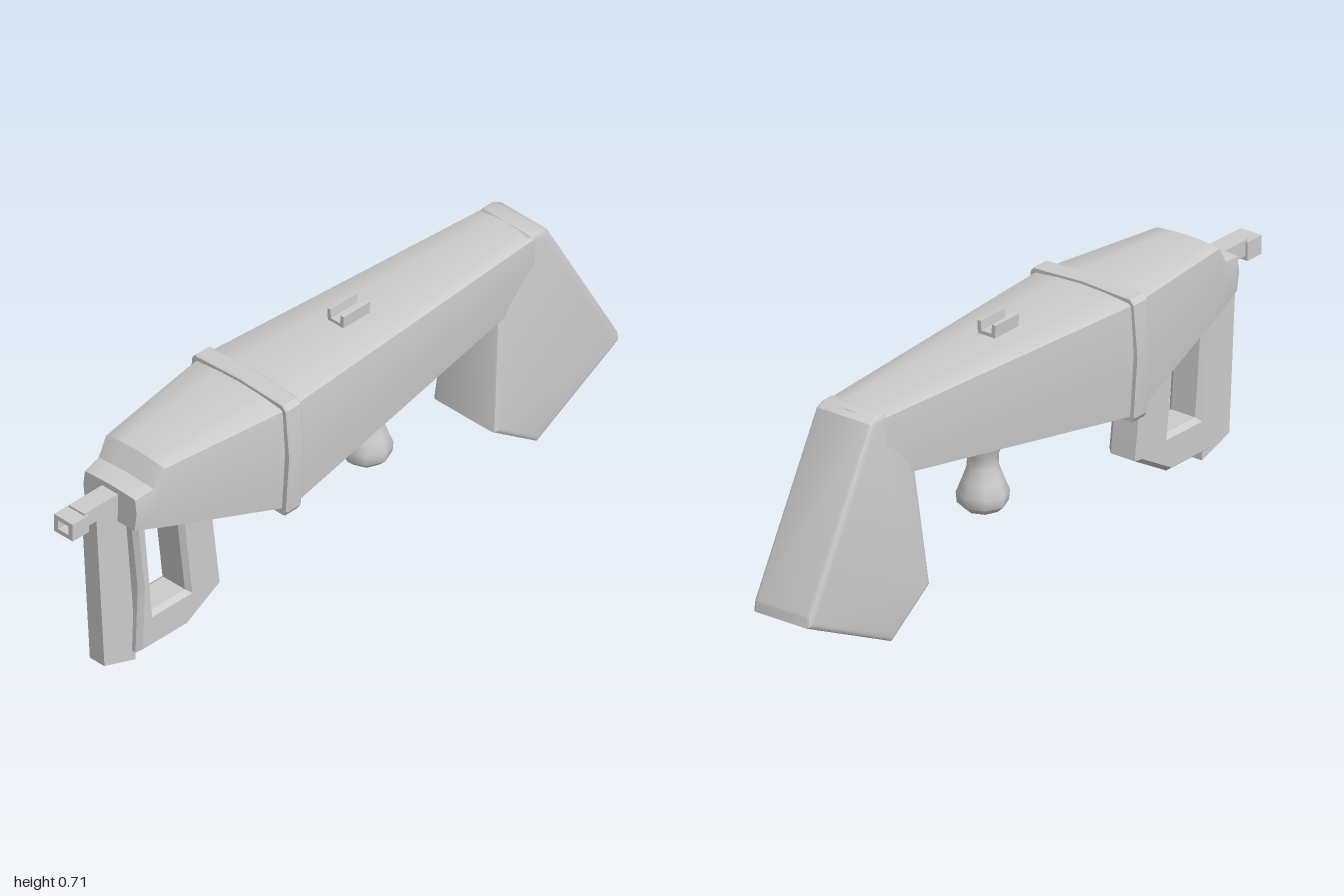
import * as THREE from 'three';
import { toCreasedNormals } from 'three/addons/utils/BufferGeometryUtils.js';

const material = new THREE.MeshStandardMaterial({ color: 0xcccccc });

function addPart(parent, name, geometry, crease = 0.5) {
  const mesh = new THREE.Mesh(toCreasedNormals(geometry, crease), material);
  mesh.name = name;
  parent.add(mesh);
  return mesh;
}

// Skin a row of closed rings (ordered by rising x) and cap both ends
function loft(rings) {
  const n = rings[0].length;
  const index = [];
  for (let r = 0; r < rings.length - 1; r++) {
    for (let i = 0; i < n; i++) {
      const a = r * n + i, b = r * n + (i + 1) % n;
      index.push(a, a + n, b + n, a, b + n, b);
    }
  }
  const last = (rings.length - 1) * n;
  for (let i = 1; i < n - 1; i++) {
    index.push(0, i, i + 1, last, last + i + 1, last + i);
  }
  const g = new THREE.BufferGeometry();
  g.setAttribute('position', new THREE.Float32BufferAttribute(rings.flat(2), 3));
  g.setIndex(index);
  const flat = g.toNonIndexed();
  flat.computeVertexNormals();
  return flat;
}

// Hull cross-section: flat bottom, bulged sides, crowned top; the end may slant
function hullRing(xBottom, xTop, yBottom, yTop, half) {
  const right = [
    [0.93, 0], [1, 0.54], [0.945, 0.95], [0.9, 0.965], [0.45, 0.99],
  ];
  const left = right.map(([z, t]) => [-z, t]).reverse();
  return [...right, [0, 1], ...left].map(([z, t]) => [
    xBottom + (xTop - xBottom) * t, yBottom + (yTop - yBottom) * t, z * half,
  ]);
}

// Band cross-section with chamfered corners
function bandRing(x, inset) {
  const right = [[0.165, 0.325], [0.175, 0.34], [0.188, 0.52], [0.175, 0.668], [0.162, 0.682]];
  const left = right.map(([z, y]) => [-z, y]).reverse();
  const s = 1 - inset;
  return [...right, [0, 0.69], ...left].map(([z, y]) => [x, 0.51 + (y - 0.51) * s, z * s]);
}

// Side outline extruded across z, with the bevel kept inside the outline
function slab(outline, half, bevel, thickness, hole, segments = 1) {
  const toPoints = (list) => list.map(([x, y]) => new THREE.Vector2(x, y));
  const shape = new THREE.Shape(toPoints(outline));
  if (hole) shape.holes.push(new THREE.Path(toPoints(hole)));
  const g = new THREE.ExtrudeGeometry(shape, {
    depth: 2 * (half - thickness), bevelEnabled: bevel > 0, bevelSize: bevel,
    bevelThickness: thickness, bevelOffset: -bevel, bevelSegments: segments,
  });
  return g.translate(0, 0, -(half - thickness));
}

function box(x0, x1, y0, y1, z0, z1) {
  return new THREE.BoxGeometry(x1 - x0, y1 - y0, z1 - z0)
    .translate((x0 + x1) / 2, (y0 + y1) / 2, (z0 + z1) / 2);
}

export function createModel() {
  const model = new THREE.Group();

  // Main hull, swelling towards the band and tapering to the stock
  addPart(model, 'body', loft([
    hullRing(-0.825, -0.825, 0.49, 0.595, 0.098),
    hullRing(-0.77, -0.765, 0.474, 0.605, 0.107),
    hullRing(-0.745, -0.73, 0.466, 0.66, 0.113),
    hullRing(-0.31, -0.31, 0.338, 0.68, 0.175),
    hullRing(0.62, 0.705, 0.48, 0.676, 0.099),
  ]));

  // Raised band around the widest point
  addPart(model, 'band', loft([
    bandRing(-0.342, 0.015), bandRing(-0.337, 0),
    bandRing(-0.29, 0), bandRing(-0.285, 0.015),
  ]), 0.3);

  // Stock, flaring in width towards its lower front corner
  const stock = slab([
    [0.5, 0.13], [0.66, 0.02], [0.99, 0.17], [0.985, 0.2],
    [0.725, 0.665], [0.70, 0.677], [0.66, 0.677], [0.56, 0.56], [0.535, 0.46],
  ], 0.1, 0.018, 0.012, null, 3);
  const pos = stock.attributes.position;
  const clamp = THREE.MathUtils.clamp;
  for (let i = 0; i < pos.count; i++) {
    const x = pos.getX(i), y = pos.getY(i);
    const low = clamp((0.45 - y) / 0.3, 0, 1);
    const forward = clamp((0.99 - x) / 0.3, 0, 1);
    pos.setZ(i, pos.getZ(i) * (0.96 + 0.22 * low * forward));
  }
  addPart(model, 'stock', stock);

  // Looped grip under the nose
  addPart(model, 'grip', slab(
    [[-0.77, 0.04], [-0.59, 0.04], [-0.457, 0.115], [-0.495, 0.42], [-0.51, 0.47], [-0.79, 0.5], [-0.762, 0.25]],
    0.055, 0.012, 0.015,
    [[-0.712, 0.15], [-0.738, 0.425], [-0.62, 0.44], [-0.585, 0.15]],
  ));

  // Upright post in front of the grip
  addPart(model, 'frontPost', slab([
    [-0.873, 0.043], [-0.757, 0.005], [-0.757, 0.04], [-0.77, 0.22], [-0.8, 0.56], [-0.905, 0.56],
  ], 0.027, 0, 0));

  // Barrel neck and square hollow muzzle
  addPart(model, 'barrel', slab([
    [-0.95, 0.532], [-0.905, 0.532], [-0.8, 0.5], [-0.8, 0.578], [-0.95, 0.578],
  ], 0.029, 0, 0));
  const square = (h, v) => [[-h, -v], [h, -v], [h, v], [-h, v]];
  const muzzle = slab(square(0.035, 0.027), 0.03, 0, 0, square(0.02, 0.014));
  muzzle.rotateY(Math.PI / 2).translate(-0.97, 0.545, 0);
  addPart(model, 'muzzle', muzzle);

  // Turned knob under the hull
  const profile = [
    [0, 0.183], [0.05, 0.187], [0.069, 0.205], [0.072, 0.235], [0.058, 0.27],
    [0.043, 0.31], [0.042, 0.34], [0.058, 0.38], [0.078, 0.43],
  ].map(([r, y]) => new THREE.Vector2(r, y));
  const knob = new THREE.LatheGeometry(profile, 8);
  addPart(model, 'knob', knob.translate(0.135, 0, 0), 0.9);

  // Rear sight: two leaning plates on a small base
  const sight = new THREE.Group();
  sight.name = 'sight';
  model.add(sight);
  addPart(sight, 'sightBase', box(0.02, 0.12, 0.665, 0.688, -0.02, 0.02));
  for (const side of [-1, 1]) {
    const plate = box(0.02, 0.12, -0.025, 0.025, -0.006, 0.006);
    plate.rotateX(side * 0.06).translate(0, 0.69, side * 0.023);
    addPart(sight, side > 0 ? 'sightPlateFront' : 'sightPlateBack', plate);
  }

  return model;
}
